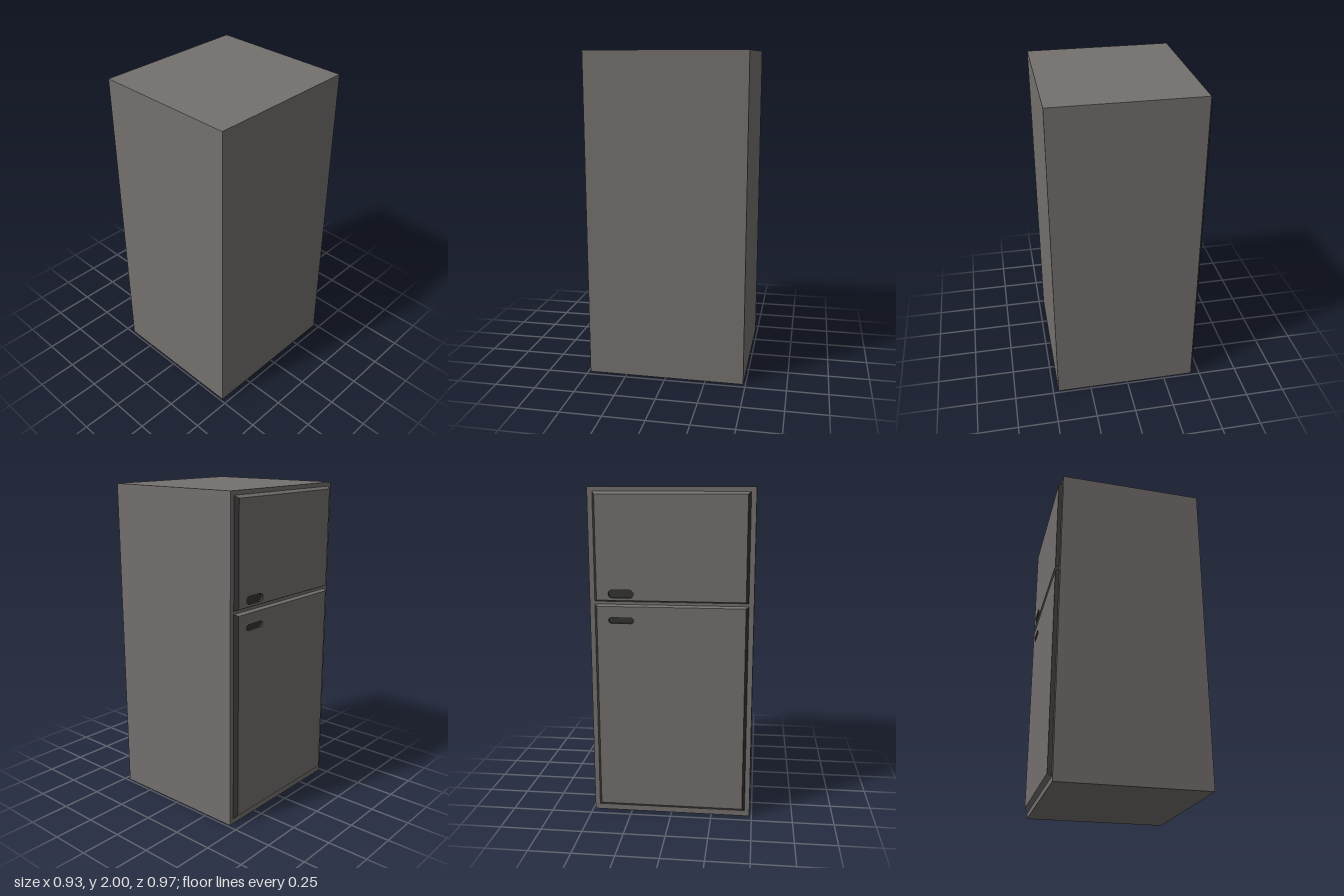
import * as THREE from 'three';

const grey = new THREE.MeshStandardMaterial({ color: 0x74706e });
grey.name = 'warmGrey';
const dark = new THREE.MeshStandardMaterial({ color: 0x353433, side: THREE.DoubleSide });
dark.name = 'darkGrey';

const DEPTH = 0.023; // door thickness

function add(parent, name, geometry, material) {
  const mesh = new THREE.Mesh(geometry, material);
  mesh.name = name;
  parent.add(mesh);
  return mesh;
}

// Rounded slot outline, used for the finger grips
function slot(path, x, y, w, h) {
  const r = h / 2;
  const s = w / 2 - r;
  path.absarc(x + s, y, r, -Math.PI / 2, Math.PI / 2, false);
  path.absarc(x - s, y, r, Math.PI / 2, Math.PI * 1.5, false);
  path.closePath();
  return path;
}

// Door built facing +z: tapered rim, front panel with a hole, recessed grip
function makeDoor(name, base, front, grip) {
  const door = new THREE.Group();
  door.name = name;

  const rim = new THREE.BoxGeometry(1, 1, DEPTH);
  const p = rim.attributes.position;
  for (let i = 0; i < p.count; i++) {
    const [half, low, high] = p.getZ(i) > 0 ? front : base;
    p.setXYZ(i, Math.sign(p.getX(i)) * half, p.getY(i) > 0 ? high : low, p.getZ(i) + DEPTH / 2);
  }
  rim.groups = rim.groups.slice(0, 4); // only the four edges
  rim.computeVertexNormals();
  add(door, 'doorRim', rim, [dark, dark, grey, grey]);

  const [half, low, high] = front;
  const outline = new THREE.Shape([
    new THREE.Vector2(-half, low), new THREE.Vector2(half, low),
    new THREE.Vector2(half, high), new THREE.Vector2(-half, high),
  ]);
  outline.holes.push(slot(new THREE.Path(), ...grip));
  add(door, 'doorPanel', new THREE.ShapeGeometry(outline, 8), grey).position.z = DEPTH;

  // Grip pocket: walls plus floor
  const gripShape = slot(new THREE.Shape(), ...grip);
  const walls = new THREE.ExtrudeGeometry(gripShape, { depth: 0.018, bevelEnabled: false, curveSegments: 8 });
  walls.groups = walls.groups.filter((g) => g.materialIndex === 1);
  add(door, 'gripWalls', walls, [dark, dark]).position.z = DEPTH - 0.018;
  add(door, 'gripFloor', new THREE.ShapeGeometry(gripShape, 8), dark).position.z = DEPTH - 0.018;
  return door;
}

export function createModel() {
  const model = new THREE.Group();
  model.name = 'refrigerator';

  // Cabinet
  add(model, 'cabinet', new THREE.BoxGeometry(0.909, 2, 0.972), grey).position.set(0.0115, 1, 0);

  // Doors on the -x side; each section is [half width, bottom, top]
  const doors = [
    makeDoor('freezerDoor', [0.456, 1.337, 1.975], [0.44, 1.347, 1.96], [-0.295, 1.385, 0.15, 0.048]),
    makeDoor('fridgeDoor', [0.456, 0.035, 1.32], [0.44, 0.055, 1.31], [-0.295, 1.226, 0.15, 0.035]),
  ];
  for (const door of doors) {
    door.rotation.y = -Math.PI / 2;
    door.position.x = -0.443;
    model.add(door);
  }
  return model;
}
